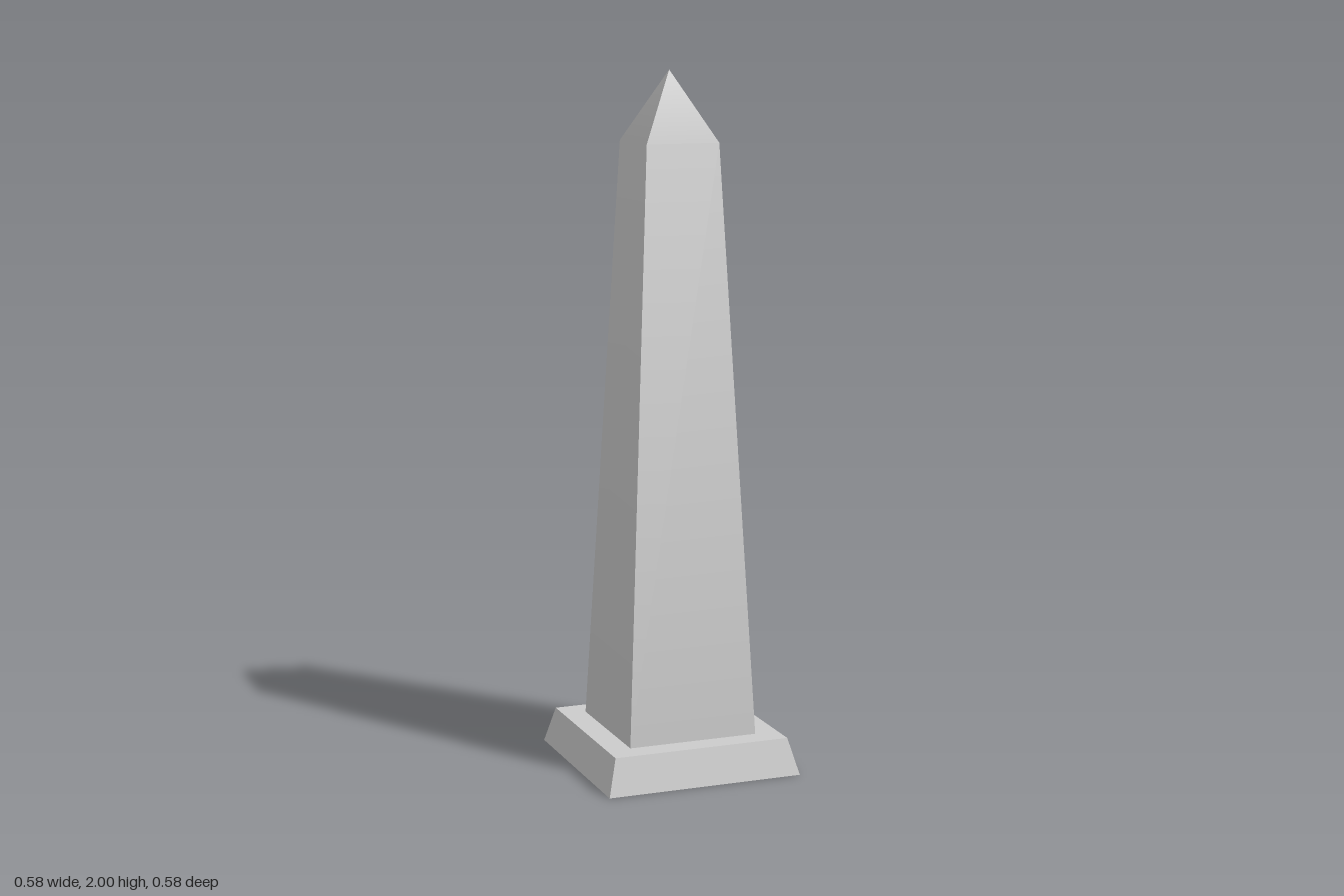
import * as THREE from 'three';
import { mergeGeometries } from 'three/addons/utils/BufferGeometryUtils.js';

// Square shell through rings [halfWidth, y]; smooth along the profile, sharp at the four corners.
function squareShell(rings) {
  // Normal of each band on the front side
  const bands = rings.slice(1).map(([h, y], i) => {
    const [h0, y0] = rings[i];
    return new THREE.Vector3(0, h0 - h, y - y0).normalize();
  });
  const positions = [], normals = [], index = [];
  rings.forEach(([h, y], i) => {
    const n = new THREE.Vector3();
    if (i > 0) n.add(bands[i - 1]);
    if (i < bands.length) n.add(bands[i]);
    n.normalize();
    positions.push(-h, y, h, h, y, h);
    normals.push(n.x, n.y, n.z, n.x, n.y, n.z);
    if (i === 0) return;
    const a = 2 * i - 2;
    index.push(a, a + 1, a + 3);
    if (h > 0) index.push(a, a + 3, a + 2);
  });
  const side = new THREE.BufferGeometry();
  side.setAttribute('position', new THREE.Float32BufferAttribute(positions, 3));
  side.setAttribute('normal', new THREE.Float32BufferAttribute(normals, 3));
  side.setIndex(index);
  return mergeGeometries([0, 1, 2, 3].map((k) => side.clone().rotateY((k * Math.PI) / 2)));
}

export function createModel() {
  const group = new THREE.Group();
  group.name = 'obelisk';
  const stone = new THREE.MeshStandardMaterial({ color: 0xcccccc, side: THREE.DoubleSide });

  const add = (name, rings) => {
    const mesh = new THREE.Mesh(squareShell(rings), stone);
    mesh.name = name;
    group.add(mesh);
  };

  const baseTop = 0.105;
  // Hollow plinth, open underneath
  add('plinthSides', [[0.29, 0], [0.262, baseTop]]);
  add('plinthLedge', [[0.262, baseTop], [0.192, baseTop]]);
  // Tapering hollow shaft with its pointed cap
  add('shaftAndCap', [[0.192, baseTop], [0.108, 1.8], [0, 2]]);

  return group;
}
